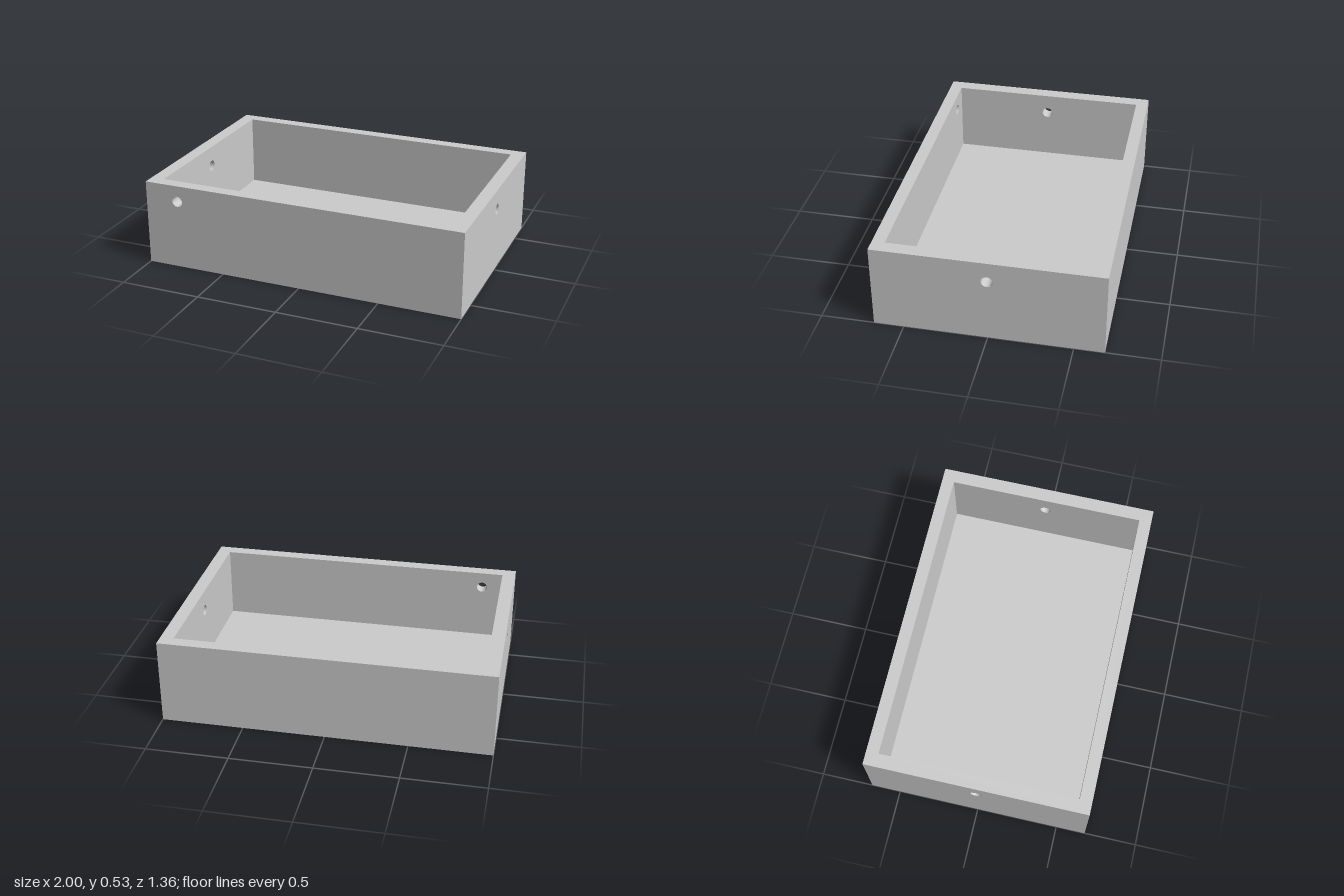
import * as THREE from 'three';

const W = 1, D = 0.68, H = 0.53;          // outer half width, half depth, height
const IW = 0.918, ID = 0.604, FLOOR = 0.08; // cavity half width, half depth, floor level

const material = new THREE.MeshStandardMaterial({ color: 0xcccccc, side: THREE.DoubleSide });

function rect(Path, hw, y0, y1) {
  return new Path([[-hw, y0], [hw, y0], [hw, y1], [-hw, y1]].map(([x, y]) => new THREE.Vector2(x, y)));
}

function add(parent, name, geometry) {
  const mesh = new THREE.Mesh(geometry, material);
  mesh.name = name;
  parent.add(mesh);
  return mesh;
}

// Flat upright face, optionally pierced by a round hole
function face(hw, y0, hole, mirror) {
  const shape = rect(THREE.Shape, hw, y0, H);
  if (hole) {
    const path = new THREE.Path();
    path.absarc(hole.x * mirror, hole.y, hole.r, 0, Math.PI * 2, true);
    shape.holes.push(path);
  }
  return new THREE.ShapeGeometry(shape, 48);
}

// Wall facing +z before it is turned: outer skin, inner skin and hole lining
function wall(name, hw, innerHw, out, inner, turn, hole) {
  const group = new THREE.Group();
  group.name = name;
  add(group, name + 'Outside', face(hw, 0, hole, 1).translate(0, 0, out));
  add(group, name + 'Inside', face(innerHw, FLOOR, hole, -1).rotateY(Math.PI).translate(0, 0, inner));
  if (hole) {
    const bore = new THREE.CylinderGeometry(hole.r, hole.r, out - inner, 48, 1, true);
    bore.rotateX(Math.PI / 2).translate(hole.x, hole.y, (out + inner) / 2);
    add(group, name + 'Hole', bore);
  }
  group.rotation.y = turn;
  return group;
}

export function createModel() {
  const model = new THREE.Group();
  model.name = 'openBox';

  // Four walls, three of them drilled
  const sideHole = { x: 0, y: 0.402, r: 0.034 };
  model.add(
    wall('frontWall', W, IW, D, ID, 0, { x: -0.79, y: 0.43, r: 0.033 }),
    wall('backWall', W, IW, D, ID, Math.PI),
    wall('leftWall', D, ID, W, IW, Math.PI / 2, sideHole),
    wall('rightWall', D, ID, W, IW, -Math.PI / 2, sideHole)
  );

  // Top rim
  const rim = rect(THREE.Shape, W, -D, D);
  rim.holes.push(rect(THREE.Path, IW, -ID, ID));
  add(model, 'rim', new THREE.ShapeGeometry(rim).rotateX(-Math.PI / 2).translate(0, H, 0));

  // Cavity floor and underside
  add(model, 'floor', new THREE.PlaneGeometry(IW * 2, ID * 2).rotateX(-Math.PI / 2).translate(0, FLOOR, 0));
  add(model, 'underside', new THREE.PlaneGeometry(W * 2, D * 2).rotateX(Math.PI / 2));

  return model;
}
